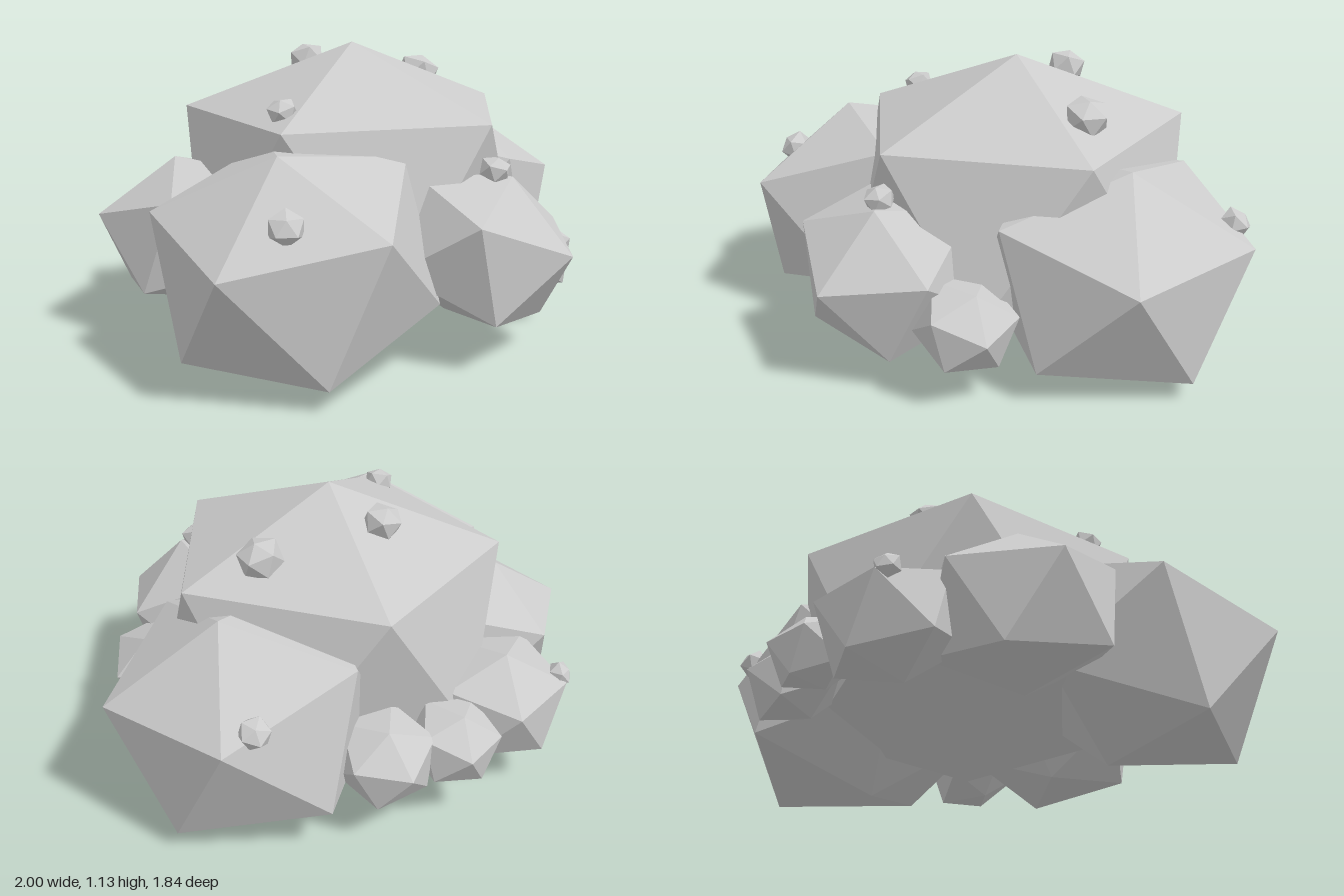
import * as THREE from 'three';
import { ConvexGeometry } from 'three/addons/geometries/ConvexGeometry.js';

const stone = new THREE.MeshStandardMaterial({ color: 0xcccccc, flatShading: true });

// Unit boulder: an icosahedron with its two poles pressed in.
function boulderPoints() {
  const pts = [];
  for (const s of [1, -1]) {
    pts.push(new THREE.Vector3(0, 0.768 * s, 0));
    for (let i = 0; i < 5; i++) {
      const a = (i * Math.PI * 2) / 5;
      pts.push(new THREE.Vector3(0.91 * s * Math.cos(a), 0.414 * s, 0.91 * s * Math.sin(a)));
    }
  }
  return pts;
}
const boulderGeometry = new ConvexGeometry(boulderPoints());

// Places a boulder with its pole along `axis` and one ring corner towards `corner`.
function boulder(name, centre, radius, axis, corner) {
  const y = new THREE.Vector3(...axis).normalize();
  const x = new THREE.Vector3(...corner);
  x.addScaledVector(y, -x.dot(y)).normalize();
  const z = new THREE.Vector3().crossVectors(x, y);
  const mesh = new THREE.Mesh(boulderGeometry, stone);
  mesh.name = name;
  mesh.quaternion.setFromRotationMatrix(new THREE.Matrix4().makeBasis(x, y, z));
  mesh.position.set(...centre);
  mesh.scale.setScalar(radius);
  return mesh;
}

export function createModel() {
  const group = new THREE.Group();
  group.name = 'rockPile';

  // Boulders: name, centre, radius, pole direction, ring corner direction
  const boulders = [
    ['mainBoulder', [-0.03, 0.565, -0.03], 0.736, [0, 1, 0], [1, 0, 0]],
    ['frontRightBoulder', [-0.54, 0.425, 0.405], 0.545, [-0.11, 0.395, 0.075], [0.07, 0.155, 0.515]],
    ['leftBoulder', [0.49, 0.42, -0.205], 0.545, [0.11, 0.4, -0.005], [0.51, 0.085, 0.175]],
    ['frontBoulder', [0.15, 0.415, 0.57], 0.38, [0.09, 0.27, 0.09], [0.17, -0.04, 0.35]],
    ['backRightBoulder', [-0.63, 0.41, -0.25], 0.38, [-0.05, 0.27, -0.05], [-0.36, 0.1, -0.11]],
    ['backBoulder', [-0.4, 0.34, -0.64], 0.28, [0.01, 0.21, -0.05], [0.11, 0.12, -0.26]],
    ['smallFrontRock', [0.515, 0.3, 0.415], 0.2, [0.075, 0.155, -0.02], [0.185, -0.02, 0]],
    ['smallBackRock', [-0.08, 0.32, -0.75], 0.18, [0, 0.16, -0.06], [0.06, 0.03, -0.17]],
    ['smallBackLeftRock', [0.19, 0.32, -0.67], 0.2, [0.03, 0.16, -0.06], [0.03, 0.03, -0.18]],
  ];
  for (const b of boulders) group.add(boulder(...b));

  // Pebbles lying on the boulders: centre, radius, outward direction
  const pebbles = [
    [[-0.74, 0.63, 0.7], 0.068, [-0.3, 0.6, 0.6]],
    [[-0.485, 0.925, 0.22], 0.06, [-0.3, 0.9, 0.2]],
    [[0.365, 0.975, -0.14], 0.09, [0.35, 0.93, 0]],
    [[-0.095, 1.045, -0.28], 0.077, [-0.1, 0.9, -0.3]],
    [[0.185, 0.705, 0.62], 0.062, [0.1, 0.9, 0.3]],
    [[0.71, 0.605, -0.595], 0.062, [0.3, 0.7, -0.6]],
    [[-0.59, 0.44, -0.79], 0.052, [-0.5, 0.5, -0.6]],
  ];
  pebbles.forEach(([centre, radius, out], i) => {
    group.add(boulder(`pebble${i + 1}`, centre, radius, out, [Math.cos(i), 0, Math.sin(i)]));
  });
  return group;
}
